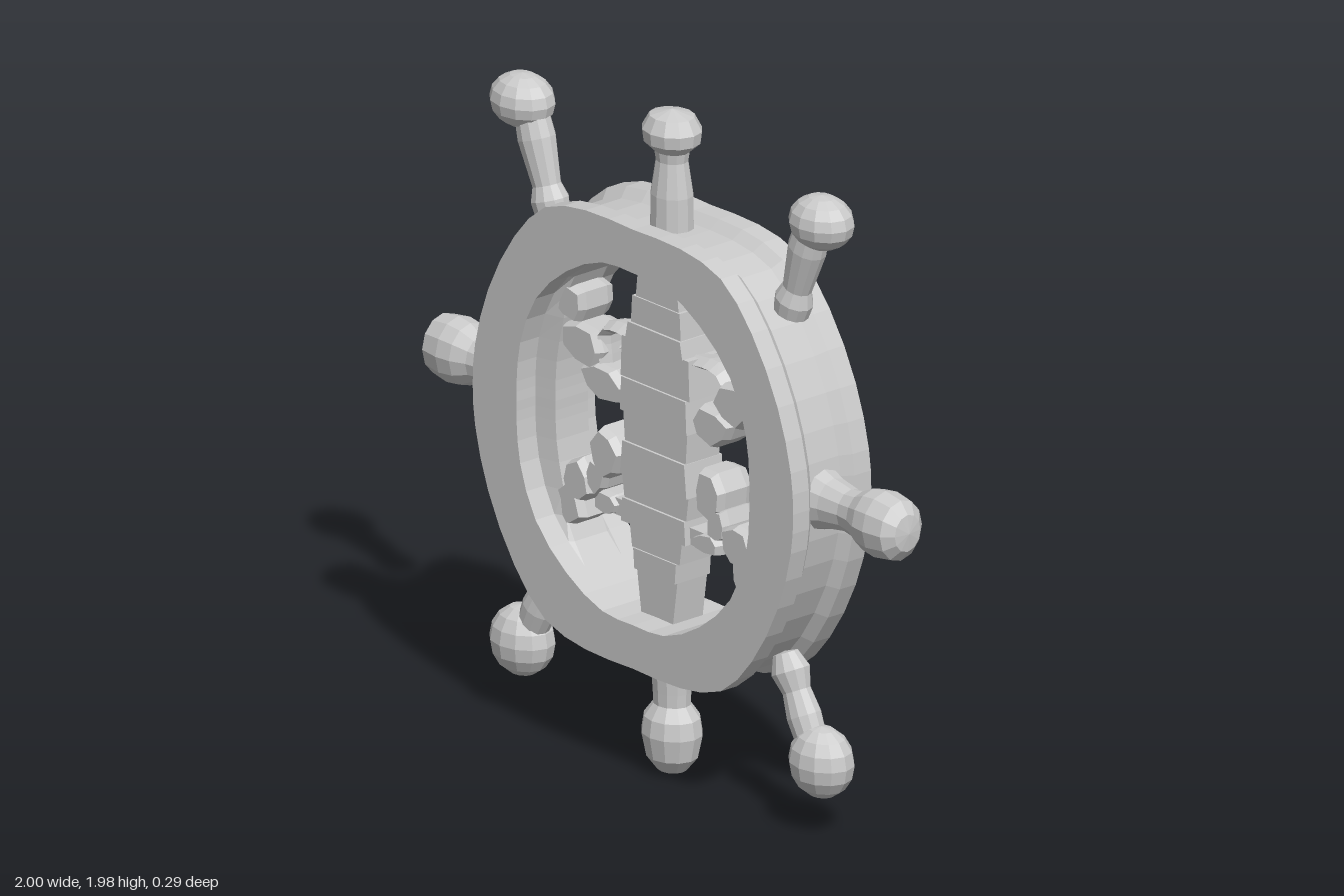
import * as THREE from 'three';

const mat = new THREE.MeshStandardMaterial({ color: 0xcccccc, flatShading: true, side: THREE.DoubleSide });
const V = (x, y, z = 0) => new THREE.Vector3(x, y, z);

function add(parent, name, geometry) {
  const mesh = new THREE.Mesh(geometry, mat);
  mesh.name = name;
  parent.add(mesh);
  return mesh;
}

// Closed smooth outline from the upper right quarter, mirrored to all four
function outline(quarter) {
  const n = quarter.length - 1;
  const half = [...quarter, ...quarter.slice(0, n).reverse().map(([x, y]) => [x, -y])];
  const full = [...half, ...half.slice(1, -1).reverse().map(([x, y]) => [-x, y])];
  return new THREE.CatmullRomCurve3(full.map(([x, y]) => V(x, y)), true);
}

// Rim: a grooved cross-section swept around the rounded outline
function rimGeometry() {
  const outer = outline([[0, 0.655], [0.2, 0.655], [0.37, 0.615], [0.5, 0.49], [0.61, 0.3], [0.665, 0.12], [0.675, 0]]);
  const inner = outline([[0, 0.525], [0.13, 0.52], [0.28, 0.45], [0.41, 0.33], [0.475, 0.18], [0.49, 0.06], [0.49, 0]]);
  const N = 48, pos = [], idx = [];
  let S = 0;
  for (let i = 0; i < N; i++) {
    const o = outer.getPoint(i / N), a = inner.getPoint(i / N);
    const groove = o.clone().multiplyScalar(0.96);
    // The inner ledge only stands out along the two sides
    const k = 0.068 * THREE.MathUtils.clamp((0.42 - Math.abs(a.y)) / 0.18, 0, 1);
    const ledge = V(a.x - Math.sign(a.x) * k, a.y);
    const section = [
      [o, 0.145], [o, 0.085], [groove, 0.055], [groove, -0.055], [o, -0.085], [o, -0.145],
      [a, -0.145], [a, -0.075], [ledge, -0.06], [ledge, 0.06], [a, 0.075], [a, 0.145],
    ];
    S = section.length;
    section.forEach(([p, z]) => pos.push(p.x, p.y + 1, z));
  }
  for (let i = 0; i < N; i++) for (let j = 0; j < S; j++) {
    const i2 = (i + 1) % N, j2 = (j + 1) % S;
    const a = i * S + j, b = i2 * S + j, c = i2 * S + j2, d = i * S + j2;
    idx.push(a, b, d, b, c, d);
  }
  const g = new THREE.BufferGeometry();
  g.setAttribute('position', new THREE.Float32BufferAttribute(pos, 3));
  g.setIndex(idx);
  g.computeVertexNormals();
  return g;
}

// Turned handle from a point near the rim to the tip of its knob
function handle(parent, name, from, tip, profile) {
  const dir = tip.clone().sub(from), length = dir.length();
  const pts = profile.map(([r, t]) => new THREE.Vector2(r, t * length));
  const mesh = add(parent, name, new THREE.LatheGeometry(pts, 12));
  mesh.geometry.scale(1, 1, 0.87);
  mesh.position.copy(from);
  mesh.rotation.z = Math.atan2(-dir.x, dir.y);
}

// Trapezoid slab, bottom and top half widths given
function slab(y0, y1, w0, w1, d) {
  const shape = new THREE.Shape([[-w0, y0], [w0, y0], [w1, y1], [-w1, y1]].map(([x, y]) => new THREE.Vector2(x, y)));
  return new THREE.ExtrudeGeometry(shape, { depth: d * 2, bevelEnabled: false }).translate(0, 0, -d);
}

// Rough broken chunk: an uneven prism with chamfered faces
function chunk(x, y, w, h, turn, seed) {
  const sides = 7, profile = [[0, -1], [0.85, -1], [1, -0.6], [1, 0.6], [0.85, 1], [0, 1]];
  const g = new THREE.LatheGeometry(profile.map(([r, t]) => new THREE.Vector2(r, t)), sides);
  g.rotateX(Math.PI / 2);
  const p = g.attributes.position;
  for (let i = 0; i < p.count; i++) {
    const k = 1.02 + 0.14 * Math.sin(Math.round(Math.atan2(p.getY(i), p.getX(i)) / (Math.PI * 2) * sides + sides) % sides * 2.3 + seed);
    p.setXY(i, p.getX(i) * k, p.getY(i) * k);
  }
  return g.scale(w / 2, h / 2, 0.065).rotateZ(turn).translate(x, y, 0);
}

export function createModel() {
  const group = new THREE.Group();
  add(group, 'rim', rimGeometry());

  // Upright and sideways handles
  const topProfile = [[0, 0], [0.068, 0], [0.066, 0.3], [0.05, 0.58], [0.055, 0.66], [0.088, 0.74], [0.093, 0.84], [0.07, 0.95], [0, 1]];
  const sideProfile = [[0, 0], [0.09, 0], [0.075, 0.12], [0.063, 0.32], [0.07, 0.45], [0.093, 0.58], [0.1, 0.72], [0.09, 0.9], [0.055, 0.98], [0, 1]];
  const bottomProfile = [[0, 0], [0.07, 0], [0.06, 0.35], [0.058, 0.45], [0.087, 0.55], [0.095, 0.68], [0.08, 0.86], [0.045, 0.97], [0, 1]];
  handle(group, 'topHandle', V(0, 1.62), V(0, 1.98), topProfile);
  handle(group, 'bottomHandle', V(0, 0.38), V(0, 0), bottomProfile);

  // Diagonal handles: the upper pair stands clear of the rim
  const upperShaft = [[0, 0], [0.055, 0.02], [0.06, 0.15], [0.045, 0.28], [0.05, 0.42], [0.06, 0.7], [0.055, 0.9], [0, 1]];
  const lowerShaft = [[0, 0], [0.04, 0.02], [0.062, 0.2], [0.045, 0.4], [0.055, 0.65], [0.05, 0.9], [0, 1]];
  for (const s of [-1, 1]) {
    const side = s > 0 ? 'left' : 'right';
    handle(group, side + 'Handle', V(s * 0.64, 1), V(s, 1), sideProfile);
    handle(group, side + 'UpperShaft', V(s * 0.5, 1.515), V(s * 0.6, 1.82), upperShaft);
    handle(group, side + 'LowerShaft', V(s * 0.475, 0.5), V(s * 0.6, 0.24), lowerShaft);
    for (const [part, y, ry] of [['Upper', 1.825, 0.08], ['Lower', 0.215, 0.105]]) {
      const knob = add(group, side + part + 'Knob', new THREE.SphereGeometry(1, 12, 8));
      knob.scale.set(0.105, ry, 0.085);
      knob.position.set(s * 0.63, y, 0);
    }
  }

  // Central plank of uneven stacked slabs
  const plank = new THREE.Group();
  plank.name = 'centralPlank';
  group.add(plank);
  [
    [0.46, 0.6, 0.065, 0.085, 0.055], [0.6, 0.66, 0.085, 0.09, 0.065], [0.66, 0.73, 0.1, 0.11, 0.06],
    [0.73, 0.8, 0.135, 0.13, 0.07], [0.8, 0.87, 0.13, 0.14, 0.062], [0.87, 0.97, 0.14, 0.13, 0.07],
    [0.97, 1.06, 0.128, 0.135, 0.062], [1.06, 1.16, 0.14, 0.135, 0.07], [1.16, 1.28, 0.145, 0.14, 0.063],
    [1.28, 1.33, 0.12, 0.11, 0.068], [1.33, 1.41, 0.105, 0.1, 0.06], [1.41, 1.55, 0.09, 0.075, 0.055],
  ].forEach((row) => add(plank, 'plankSlab', slab(...row)));

  // Broken spoke pieces on both sides: x, y, width, height, turn
  const pieces = [
    [0.37, 1.31, 0.13, 0.11, 0.4], [0.32, 1.2, 0.16, 0.13, 0.3], [0.23, 1.11, 0.17, 0.11, 0.1],
    [0.22, 0.9, 0.12, 0.15, 0.1], [0.255, 0.82, 0.08, 0.1, 0], [0.21, 0.755, 0.11, 0.065, 0],
    [0.335, 0.785, 0.12, 0.13, -0.3], [0.38, 0.7, 0.13, 0.13, -0.4], [0.42, 1.36, 0.1, 0.1, 0],
    [0.42, 0.65, 0.09, 0.09, 0],
  ];
  for (const s of [-1, 1]) {
    pieces.forEach(([x, y, w, h, turn], i) => add(group, 'spokePiece', chunk(s * x, y, w, h, s * turn, i + s)));
    // Thin bracket between plank and spoke pieces
    const bracket = new THREE.CatmullRomCurve3([V(s * 0.12, 1.265), V(s * 0.21, 1.27), V(s * 0.255, 1.25), V(s * 0.25, 1.15)]);
    add(group, 'bracket', new THREE.TubeGeometry(bracket, 8, 0.02, 5).scale(1, 1, 2.4));
    const link = new THREE.BoxGeometry(0.1, 0.05, 0.1).translate(s * 0.16, 0.755, 0);
    add(group, 'lowerLink', link);
  }
  return group;
}
